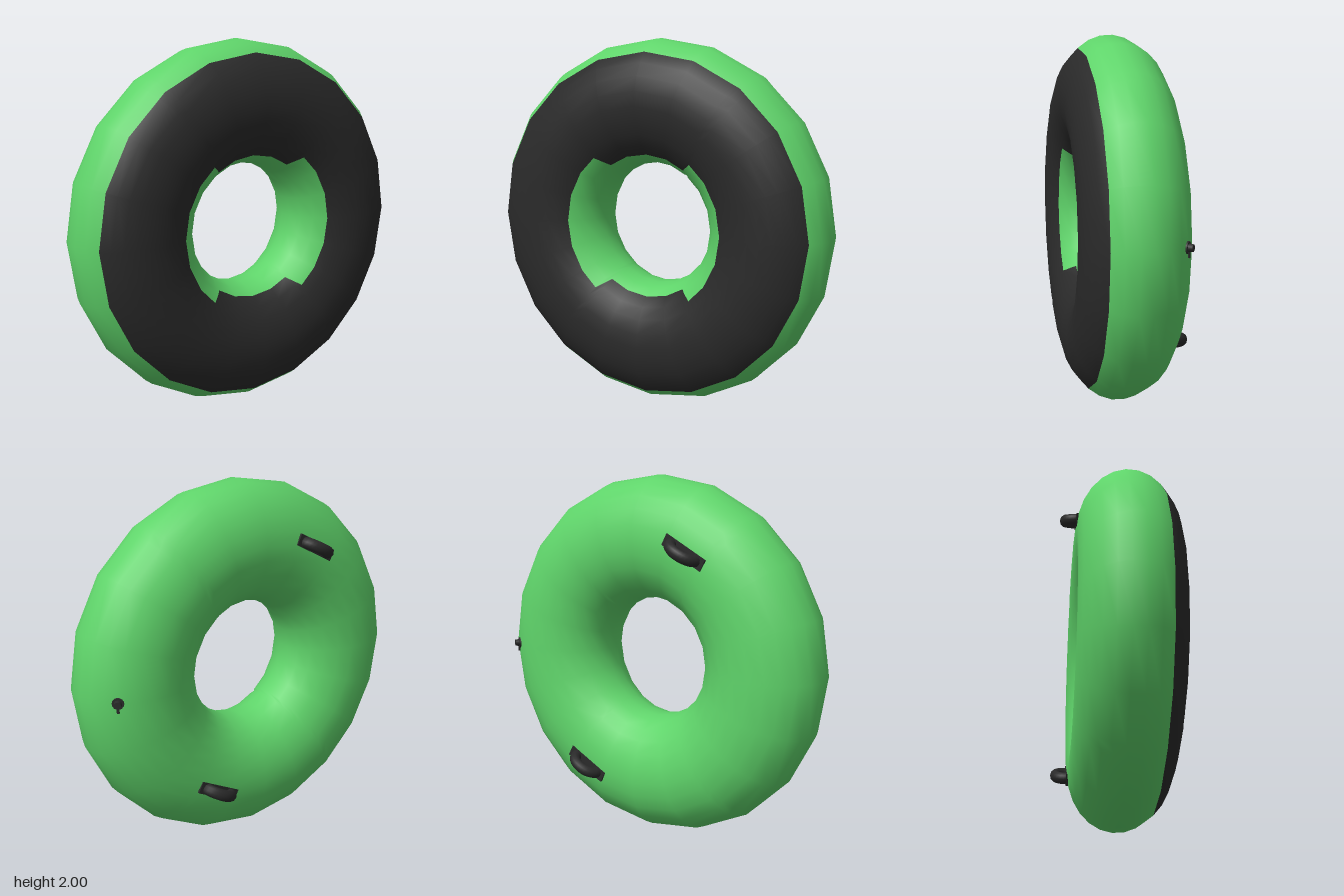
import * as THREE from 'three';

const RAD = Math.PI / 180;
const SIDES = 20;
const RING = { r: 0.667, a: 0.333, z: 0.045, b: 0.275 }; // oval tube section swept round z

// Columns round the ring, in degrees from the top, plus pairs beside each step of the trim edge
function columns() {
  const list = [];
  for (let i = 0; i <= SIDES; i++) list.push(i * 360 / SIDES);
  for (const c of [0, 180]) for (const s of [-1, 1]) for (const d of [34.8, 38.8]) list.push((c + s * d + 360) % 360);
  return list.sort((p, q) => p - q);
}

// Inner trim edge: reaches deeper into the hole at top and bottom than at the sides
function innerEdge(deg) {
  const fromVertical = Math.min(deg % 180, 180 - deg % 180);
  return THREE.MathUtils.lerp(146, 127, THREE.MathUtils.clamp((fromVertical - 34.8) / 4, 0, 1));
}

// Part of the ring surface between two section angles, each a function of the column
function ringStrip(from, to, steps) {
  const pos = [], nor = [], idx = [];
  const cols = columns(), step = 360 / SIDES;
  cols.forEach((deg) => {
    const t = deg * RAD, s = Math.sin(t), c = Math.cos(t);
    const mid = (Math.floor(deg / step) + 0.5) * step;
    const chord = Math.cos(step / 2 * RAD) / Math.cos((deg - mid) * RAD);
    for (let j = 0; j <= steps; j++) {
      const p = THREE.MathUtils.lerp(from(deg), to(deg), j / steps) * RAD;
      const r = (RING.r + RING.a * Math.cos(p)) * chord;
      pos.push(s * r, 1 + c * r, RING.z + RING.b * Math.sin(p));
      const n = new THREE.Vector3(s * Math.cos(p) / RING.a, c * Math.cos(p) / RING.a, Math.sin(p) / RING.b).normalize();
      nor.push(n.x, n.y, n.z);
    }
  });
  const w = steps + 1;
  for (let i = 0; i < cols.length - 1; i++) {
    for (let j = 0; j < steps; j++) {
      const a = i * w + j, b = a + 1, c = a + w, d = c + 1;
      idx.push(a, b, c, b, d, c);
    }
  }
  const g = new THREE.BufferGeometry();
  g.setAttribute('position', new THREE.Float32BufferAttribute(pos, 3));
  g.setAttribute('normal', new THREE.Float32BufferAttribute(nor, 3));
  g.setIndex(idx);
  return g;
}

export function createModel() {
  const model = new THREE.Group();
  const green = new THREE.MeshStandardMaterial({ color: 0x5fd46a });
  green.name = 'green vinyl';
  const black = new THREE.MeshStandardMaterial({ color: 0x2a2a2a });
  black.name = 'black rubber';

  const add = (parent, name, geometry, material) => {
    const mesh = new THREE.Mesh(geometry, material);
    mesh.name = name;
    parent.add(mesh);
    return mesh;
  };

  // Inflated ring: black front cover, green body
  add(model, 'frontCover', ringStrip(() => 38, innerEdge, 8), black);
  add(model, 'ringBody', ringStrip(innerEdge, () => 398, 18), green);

  // Two grab handles on the back, set along the ring
  for (const side of [-1, 1]) {
    const handle = new THREE.Group();
    handle.name = side < 0 ? 'upperHandle' : 'lowerHandle';
    handle.position.set(side * 0.325, 1 - side * 0.63, -0.228);
    handle.rotation.z = Math.atan2(0.325, 0.63);
    add(handle, 'handlePatch', new THREE.BoxGeometry(0.26, 0.065, 0.012), black);
    const loop = add(handle, 'handleLoop', new THREE.TorusGeometry(0.08, 0.032, 10, 16, Math.PI), black);
    loop.rotation.x = -Math.PI / 2;
    loop.scale.y = 0.82;
    model.add(handle);
  }

  // Air valve on the left shoulder, standing square to the surface
  const valve = new THREE.Group();
  valve.name = 'valve';
  valve.position.set(0.877, 1, -0.165);
  valve.quaternion.setFromUnitVectors(new THREE.Vector3(0, 1, 0), new THREE.Vector3(1.97, 0, -2.76).normalize());
  add(valve, 'valveFlange', new THREE.CylinderGeometry(0.03, 0.032, 0.012, 14), black);
  add(valve, 'valveCap', new THREE.CylinderGeometry(0.018, 0.022, 0.03, 12), black).position.y = 0.013;
  // pull tab pointing down
  const tab = add(valve, 'valveTab', new THREE.BoxGeometry(0.014, 0.008, 0.03), black);
  const down = new THREE.Vector3(0, -1, 0).applyQuaternion(valve.quaternion.clone().invert());
  tab.position.copy(down).multiplyScalar(0.034).add(new THREE.Vector3(0, 0.006, 0));
  tab.quaternion.setFromUnitVectors(new THREE.Vector3(0, 0, 1), down);
  model.add(valve);

  return model;
}
